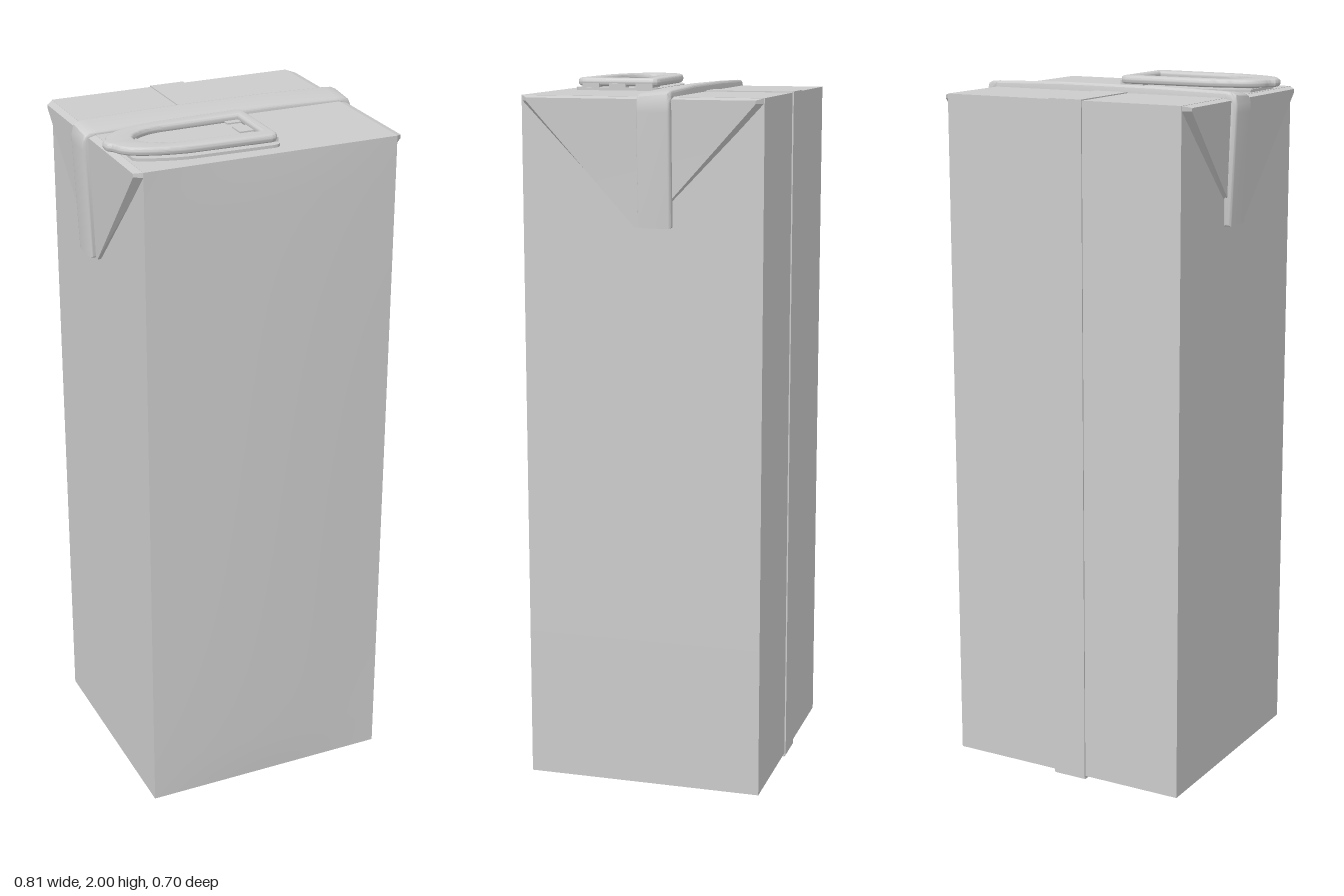
import * as THREE from 'three';
import { toCreasedNormals } from 'three/addons/utils/BufferGeometryUtils.js';

const material = new THREE.MeshStandardMaterial({ color: 0xcccccc });

function part(name, geometry) {
  const mesh = new THREE.Mesh(geometry, material);
  mesh.name = name;
  return mesh;
}

function box(name, x0, x1, y0, y1, z0, z1) {
  const g = new THREE.BoxGeometry(x1 - x0, y1 - y0, z1 - z0);
  g.translate((x0 + x1) / 2, (y0 + y1) / 2, (z0 + z1) / 2);
  return part(name, g);
}

function moveVertices(g, rule) {
  const p = g.attributes.position;
  const v = new THREE.Vector3();
  for (let i = 0; i < p.count; i++) {
    rule(v.fromBufferAttribute(p, i));
    p.setXYZ(i, v.x, v.y, v.z);
  }
  g.computeVertexNormals();
  return g;
}

const shapeOf = (points) => new THREE.Shape(points.map(([x, y]) => new THREE.Vector2(x, y)));

// Horizontal slab: shape drawn in x and -z, from height y0 to y1
function slab(name, shape, y0, y1, bevel) {
  const g = new THREE.ExtrudeGeometry(shape, {
    depth: y1 - y0 - 2 * bevel, bevelEnabled: bevel > 0, bevelThickness: bevel,
    bevelSize: bevel, bevelOffset: -bevel, bevelSegments: 4, curveSegments: 16,
  });
  g.rotateX(-Math.PI / 2);
  g.translate(0, y0 + bevel, 0);
  return part(name, toCreasedNormals(g, 0.7));
}

// Carton body with a gently bulging front
function makeBody() {
  const g = new THREE.BoxGeometry(0.73, 1.955, 0.68, 16, 32, 1);
  g.translate(0, 0.9875, -0.005);
  moveVertices(g, (v) => {
    if (v.z < 0) return;
    const across = Math.cos((v.x / 0.73) * Math.PI);
    const along = Math.sin(((v.y - 0.01) / 1.955) * Math.PI);
    v.z += 0.012 * Math.max(0, across) * Math.sqrt(Math.max(0, along));
  });
  return part('body', g);
}

// Triangular ear folded down against one side (side = 1 or -1)
function makeEar(side) {
  const points = [[0.335, 1.965], [0.335, 1.95], [0.012, 1.615], [-0.022, 1.615], [-0.345, 1.95], [-0.345, 1.965]];
  const g = new THREE.ExtrudeGeometry(shapeOf(points.map(([z, y]) => [-side * z, y])), { depth: 1, bevelEnabled: false });
  g.rotateY(side * Math.PI / 2);
  moveVertices(g, (v) => {
    const t = (v.y - 1.615) / 0.35;
    const outer = Math.abs(v.x) > 0.5;
    v.x = side * (outer ? 0.375 + 0.011 * t : 0.362);
    // chamfer the outer corners and soften the top fold
    if (outer) {
      v.z = -0.005 + (v.z + 0.005) * (1 - 0.06 * t);
      if (v.y > 1.96) v.y -= 0.006;
    }
  });
  return part(side > 0 ? 'leftEar' : 'rightEar', toCreasedNormals(g, 0.3));
}

// Folded seal strip over the top and down both sides
function makeSealBand() {
  const outer = [[0.388, 1.615], [0.402, 1.925], [0.402, 1.95], [0.396, 1.965], [0.383, 1.972], [0.36, 1.974], [0.15, 1.979]];
  const inner = [[0.36, 1.96], [0.366, 1.615]];
  const flip = (list) => list.map(([x, y]) => [-x, y]).reverse();
  const shape = shapeOf([...outer, ...flip(outer), ...flip(inner), ...inner]);
  const g = new THREE.ExtrudeGeometry(shape, {
    depth: 0.077, bevelThickness: 0.009, bevelSize: 0.007, bevelOffset: -0.007, bevelSegments: 3,
  });
  g.translate(0, 0, -0.086);
  moveVertices(g, (v) => {
    if (v.y > 1.965) v.y += 0.009 * Math.min(1, -v.z / 0.09);
  });
  return part('sealBand', toCreasedNormals(g, 0.7));
}

// Rounded window in the pull tab, also used for its floor
function windowPath(path) {
  path.moveTo(0.01, -0.24);
  path.lineTo(0.01, -0.09);
  path.lineTo(-0.21, -0.094);
  path.bezierCurveTo(-0.275, -0.097, -0.32, -0.13, -0.32, -0.165);
  path.bezierCurveTo(-0.32, -0.2, -0.275, -0.233, -0.21, -0.236);
  path.closePath();
  return path;
}

// Pull tab: bullet-shaped ring with a small gripping nose
function makePullTab() {
  const group = new THREE.Group();
  group.name = 'pullTab';

  const ring = new THREE.Shape();
  ring.moveTo(0.015, -0.288);
  ring.quadraticCurveTo(0.04, -0.288, 0.04, -0.26);
  ring.lineTo(0.04, -0.07);
  ring.quadraticCurveTo(0.04, -0.044, 0.015, -0.044);
  ring.lineTo(-0.21, -0.051);
  ring.bezierCurveTo(-0.3, -0.06, -0.37, -0.085, -0.387, -0.125);
  ring.quadraticCurveTo(-0.392, -0.143, -0.403, -0.148);
  ring.quadraticCurveTo(-0.409, -0.165, -0.403, -0.182);
  ring.quadraticCurveTo(-0.392, -0.187, -0.387, -0.205);
  ring.bezierCurveTo(-0.37, -0.245, -0.3, -0.27, -0.21, -0.281);
  ring.closePath();
  ring.holes.push(windowPath(new THREE.Path()));
  group.add(slab('tabRing', ring, 1.977, 2.0, 0.009));
  group.add(slab('tabFloor', windowPath(new THREE.Shape()), 1.964, 1.981, 0));

  // Base glued to the carton top
  const base = new THREE.Shape();
  base.moveTo(0.02, -0.293);
  base.quadraticCurveTo(0.048, -0.293, 0.048, -0.262);
  base.lineTo(0.048, -0.068);
  base.quadraticCurveTo(0.048, -0.039, 0.02, -0.039);
  base.lineTo(-0.21, -0.046);
  base.quadraticCurveTo(-0.29, -0.053, -0.355, -0.09);
  base.lineTo(-0.355, -0.24);
  base.quadraticCurveTo(-0.29, -0.277, -0.21, -0.286);
  base.closePath();
  group.add(slab('tabBase', base, 1.963, 1.973, 0));

  // Small feet joining the ring to its base
  for (const z of [0.085, 0.165, 0.245]) {
    group.add(box('tabFoot', -0.03, 0.044, 1.97, 1.985, z - 0.025, z + 0.025));
  }
  group.add(box('tabRearFoot', -0.35, -0.3, 1.97, 1.985, 0.11, 0.22));
  return group;
}

// Overlapping paper seam running along the bottom, back and top
function makeSeam() {
  const group = new THREE.Group();
  group.name = 'seam';
  group.add(
    box('backSeam', -0.065, 0.037, 0.005, 1.967, -0.349, -0.34),
    box('bottomSeam', -0.065, 0.037, 0, 0.015, -0.346, -0.2),
    box('topSeam', -0.065, 0.037, 1.96, 1.968, -0.348, -0.08),
  );
  return group;
}

export function createModel() {
  const model = new THREE.Group();
  model.name = 'drinkCarton';
  model.add(makeBody(), makeEar(1), makeEar(-1), makeSealBand(), makePullTab(), makeSeam());
  return model;
}
